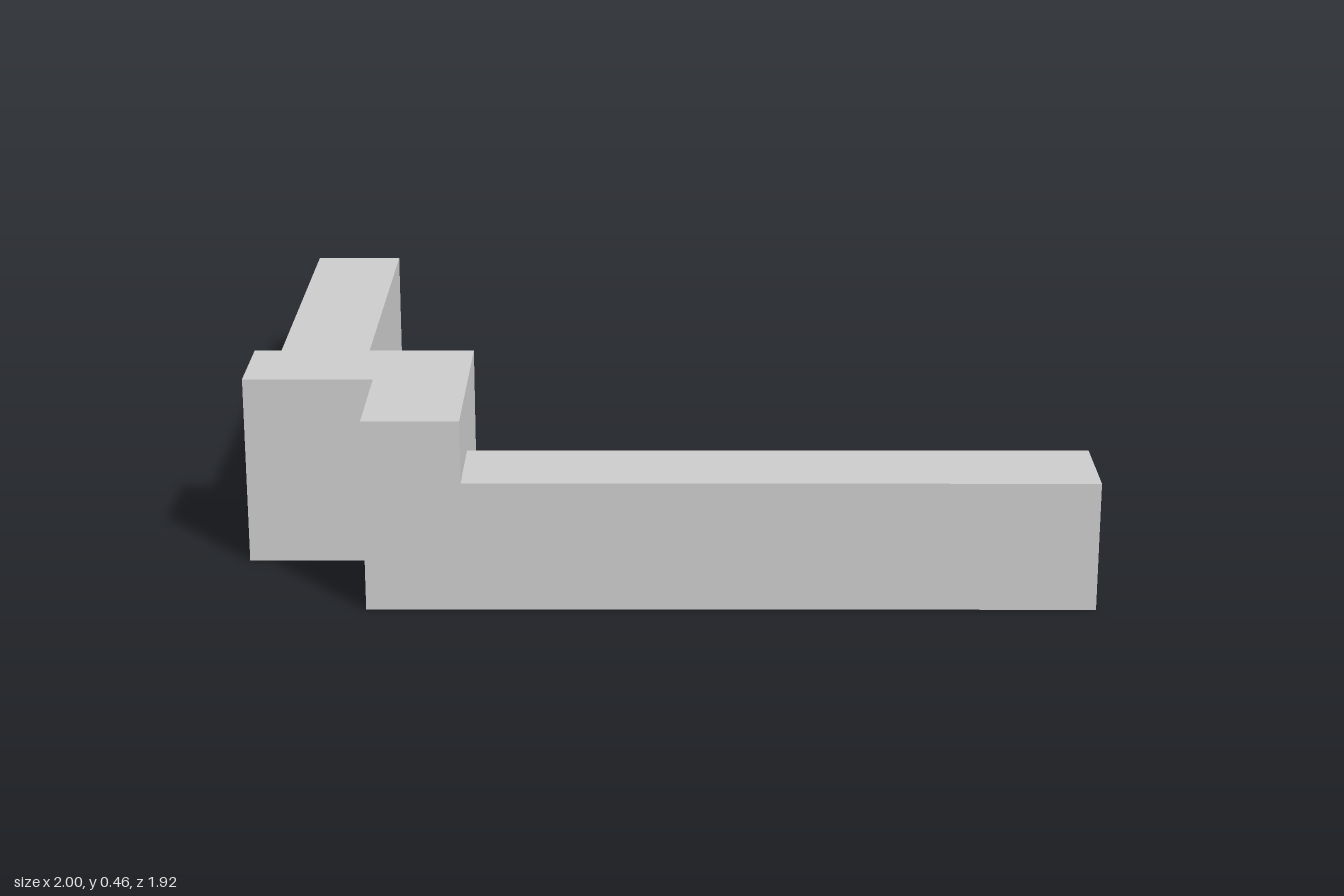
import * as THREE from 'three';

const material = new THREE.MeshStandardMaterial({ color: 0xcccccc, flatShading: true });

// Raises a floor outline, given as [x, z] corners, from y = 0 to the given height
function wall(name, height, outline) {
  const shape = new THREE.Shape(outline.map(([x, z]) => new THREE.Vector2(x, -z)));
  const geometry = new THREE.ExtrudeGeometry(shape, { depth: height, bevelEnabled: false });
  geometry.rotateX(-Math.PI / 2);
  const mesh = new THREE.Mesh(geometry, material);
  mesh.name = name;
  return mesh;
}

const rectangle = (x0, x1, z0, z1) => [[x0, z1], [x1, z1], [x1, z0], [x0, z0]];

export function createModel() {
  const model = new THREE.Group();
  model.name = 'cornerWall';

  // Tall L-shaped corner block
  model.add(wall('cornerBlock', 0.46, [
    [-1, 0.42], [-1, 0.65], [-0.69, 0.65], [-0.69, 0.96], [-0.465, 0.96], [-0.465, 0.42],
  ]));

  // Lower arms running back and sideways from the corner
  model.add(wall('backArm', 0.31, rectangle(-1, -0.77, -0.96, 0.42)));
  model.add(wall('sideArm', 0.31, rectangle(-0.465, 1, 0.73, 0.96)));

  return model;
}
